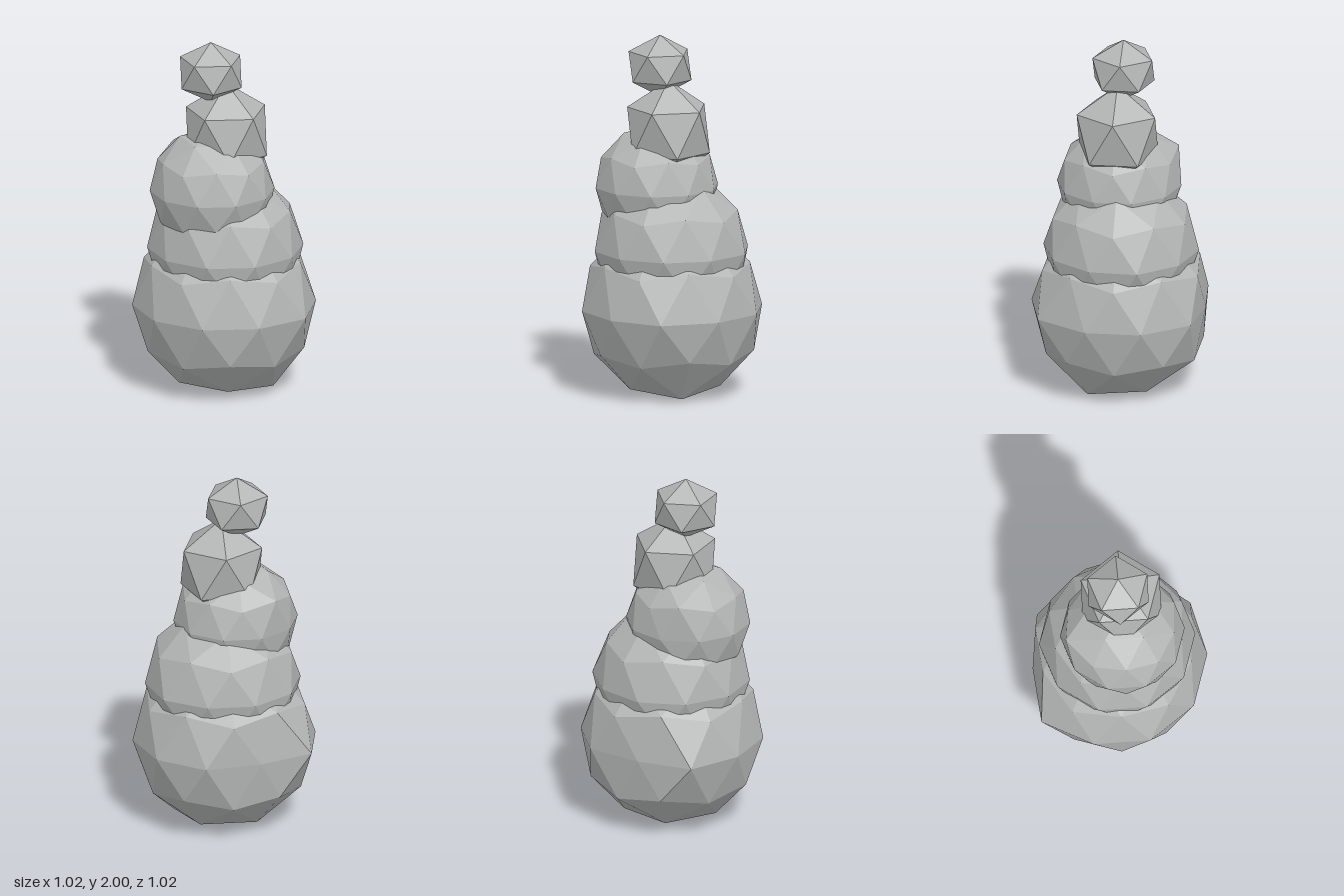
import * as THREE from 'three';

// Faceted ball with a vertex at each pole; nudges pull single corners to given points
function boulder(name, material, { r, detail, at, squash = 1, nudges = [] }) {
  const geo = new THREE.IcosahedronGeometry(r, detail);
  geo.rotateZ(-Math.atan(2 / (1 + Math.sqrt(5))));
  geo.scale(1, squash, 1);
  geo.translate(...at);

  const pos = geo.attributes.position;
  const v = new THREE.Vector3();
  for (const n of nudges) {
    const target = new THREE.Vector3(...n);
    const nearest = new THREE.Vector3(Infinity, 0, 0);
    let best = Infinity;
    for (let i = 0; i < pos.count; i++) {
      const d = v.fromBufferAttribute(pos, i).distanceTo(target);
      if (d < best) { best = d; nearest.copy(v); }
    }
    // move every copy of that corner together
    for (let i = 0; i < pos.count; i++) {
      if (v.fromBufferAttribute(pos, i).distanceTo(nearest) < 1e-4) pos.setXYZ(i, ...n);
    }
  }
  geo.computeVertexNormals();

  const mesh = new THREE.Mesh(geo, material);
  mesh.name = name;
  return mesh;
}

export function createModel() {
  const stone = new THREE.MeshStandardMaterial({ color: 0xb4b6b6, flatShading: true });
  stone.name = 'stone grey';

  const group = new THREE.Group();
  group.name = 'stackedBoulders';

  // Three rounder boulders below, two coarse stones on top
  group.add(
    boulder('baseBoulder', stone, {
      r: 0.508, detail: 1, at: [0, 0.476, 0],
      nudges: [
        [-0.515, 0.475, 0.18], [-0.44, 0.475, -0.13], [0.51, 0.475, -0.155],
        [0.23, 0.015, -0.16], [0, 0, 0],
      ],
    }),
    boulder('secondBoulder', stone, {
      r: 0.432, detail: 1, at: [0.01, 0.81, 0],
      nudges: [[0.01, 0.81, -0.445]],
    }),
    boulder('thirdBoulder', stone, {
      r: 0.345, detail: 1, at: [0.004, 1.155, 0.09],
      nudges: [[-0.33, 1.355, 0.085]],
    }),
    boulder('fourthStone', stone, { r: 0.256, detail: 0, at: [0.03, 1.48, 0.008], squash: 1.09 }),
    boulder('topStone', stone, { r: 0.195, detail: 0, at: [-0.018, 1.826, 0.08], squash: 0.89 }),
  );
  return group;
}
